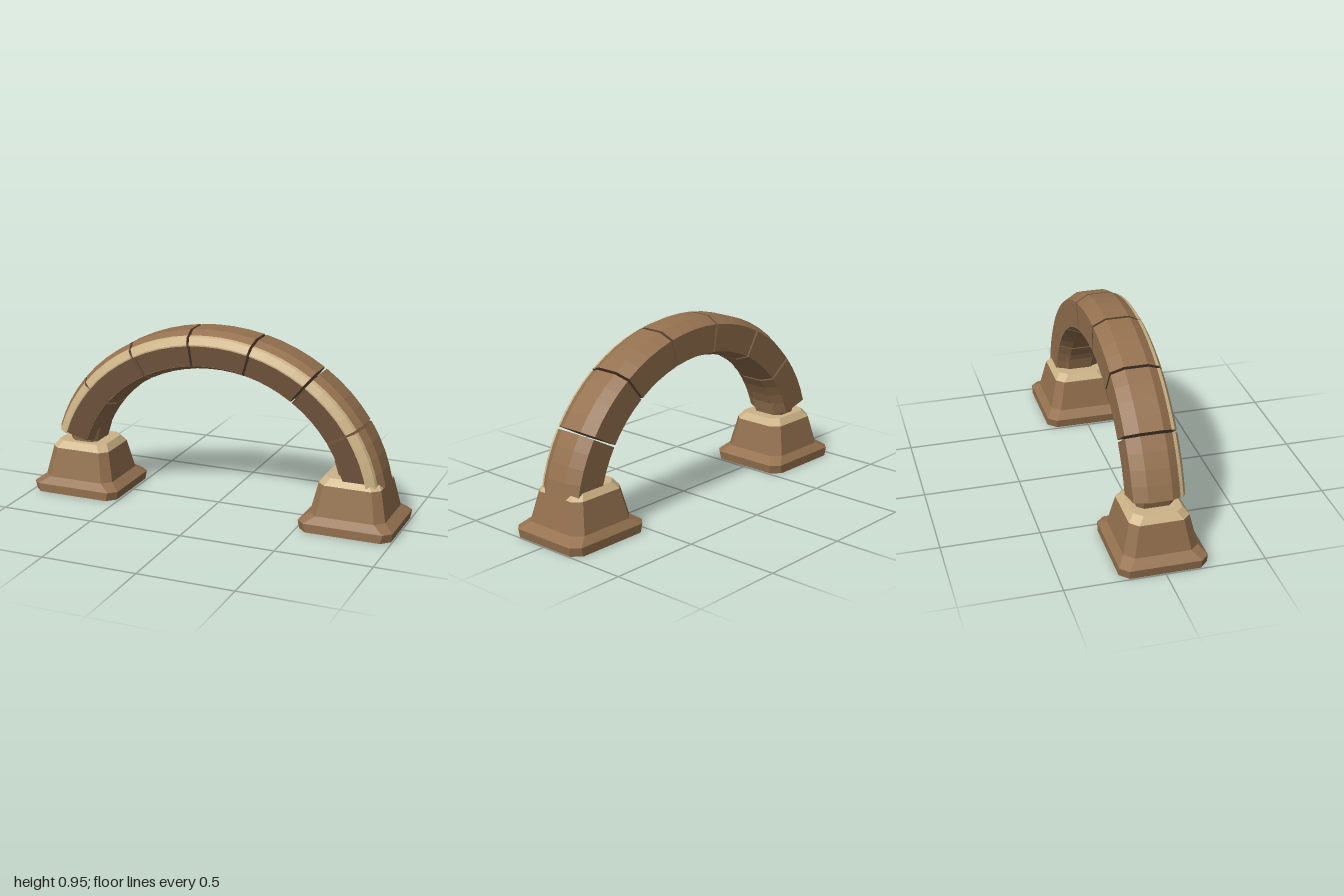
import * as THREE from 'three';

const brown = new THREE.MeshStandardMaterial({ color: 0x94714f });
const tan = new THREE.MeshStandardMaterial({ color: 0xcdb487 });
const dark = new THREE.MeshStandardMaterial({ color: 0x6c513a });
brown.name = 'brownStone';
tan.name = 'tanEdge';
dark.name = 'darkStone';

// Skin a stack of closed cross-sections with flat faces; group 0 is the sides, group 1 the end caps
function loft(rings) {
  const pos = [];
  const tri = (...points) => points.forEach((p) => pos.push(...p));
  const n = rings[0].length;
  for (let i = 0; i < rings.length - 1; i++) {
    for (let j = 0; j < n; j++) {
      const k = (j + 1) % n;
      const [a, b, c, d] = [rings[i][j], rings[i][k], rings[i + 1][k], rings[i + 1][j]];
      tri(a, b, c);
      tri(a, c, d);
    }
  }
  const sideCount = pos.length / 3;
  const first = rings[0], last = rings[rings.length - 1];
  for (let j = 1; j < n - 1; j++) {
    tri(first[0], first[j + 1], first[j]);
    tri(last[0], last[j], last[j + 1]);
  }
  const g = new THREE.BufferGeometry();
  g.setAttribute('position', new THREE.Float32BufferAttribute(pos, 3));
  g.addGroup(0, sideCount, 0);
  g.addGroup(sideCount, pos.length / 3 - sideCount, 1);
  g.computeVertexNormals();
  return g;
}

function part(name, geometry, sides, caps = sides) {
  const mesh = new THREE.Mesh(geometry, [sides, caps]);
  mesh.name = name;
  return mesh;
}

// Sweep a [radius, z] profile along the slightly widened arch (angles from the top)
function sweep(profile, from, to, steps = 4) {
  const rings = [];
  for (let i = 0; i <= steps; i++) {
    const a = THREE.MathUtils.degToRad(from + ((to - from) * i) / steps);
    rings.push(profile.map(([r, z]) => [1.1 * r * Math.sin(a), 0.1 + r * Math.cos(a), z]));
  }
  return loft(rings);
}

// Rectangle with cut corners at height y
function cutRect(y, hx, hz, c) {
  return [
    [-hx + c, y, hz], [hx - c, y, hz], [hx, y, hz - c], [hx, y, -hz + c],
    [hx - c, y, -hz], [-hx + c, y, -hz], [-hx, y, -hz + c], [-hx, y, hz - c],
  ];
}

const BODY = [
  [0.85, -0.06], [0.85, 0.06], [0.815, 0.125], [0.672, 0.125],
  [0.645, 0.06], [0.645, -0.06], [0.672, -0.125], [0.815, -0.125],
];
const TRIM = [[0.828, 0.104], [0.822, 0.121], [0.787, 0.141], [0.78, 0.141], [0.78, 0.12]];
const PANEL = [[0.78, 0.122], [0.78, 0.128], [0.674, 0.128], [0.674, 0.122]];
const RIDGE = [[0.77, 0.122], [0.77, 0.144], [0.68, 0.144], [0.68, 0.122]];

// Joint angles between the seven blocks
const JOINTS = [-74, -52, -29.7, -7.5, 14.4, 36.5, 59, 81.2];
const GAP = 0.47;

export function createModel() {
  const model = new THREE.Group();
  model.name = 'stoneArch';

  // Arch blocks with narrow gaps and dark end faces
  for (let i = 0; i < JOINTS.length - 1; i++) {
    const from = JOINTS[i] + GAP;
    const to = JOINTS[i + 1] - GAP;
    const block = new THREE.Group();
    block.name = `archBlock${i + 1}`;
    block.add(
      part('blockBody', sweep(BODY, from, to), brown, dark),
      part('frontTrim', sweep(TRIM, from, to), tan),
      part('frontPanel', sweep(PANEL, from, to), dark),
    );
    model.add(block);
  }

  // Thin raised ridges beside some joints
  for (const i of [1, 2, 5, 6]) {
    const from = JOINTS[i] + GAP;
    model.add(part('jointRidge', sweep(RIDGE, from, from + 0.5, 1), dark));
  }

  // Matching bases, each with a foot, tapered plinth, pale rim and short flared core
  for (const side of [-1, 1]) {
    const base = new THREE.Group();
    base.name = side > 0 ? 'leftBase' : 'rightBase';
    base.position.x = side * 0.753;
    base.add(
      part('plinth', loft([
        cutRect(0, 0.24, 0.22, 0.045),
        cutRect(0.045, 0.247, 0.22, 0.04),
        cutRect(0.08, 0.197, 0.185, 0.045),
        cutRect(0.235, 0.163, 0.15, 0.04),
      ]), brown, dark),
      part('rim', loft([
        cutRect(0.235, 0.163, 0.15, 0.04),
        cutRect(0.27, 0.138, 0.122, 0.04),
      ]), tan),
      part('core', loft([
        cutRect(0.25, 0.07, 0.09, 0.03),
        cutRect(0.345, 0.096, 0.1, 0.03),
      ]), brown),
    );
    model.add(base);
  }
  return model;
}
